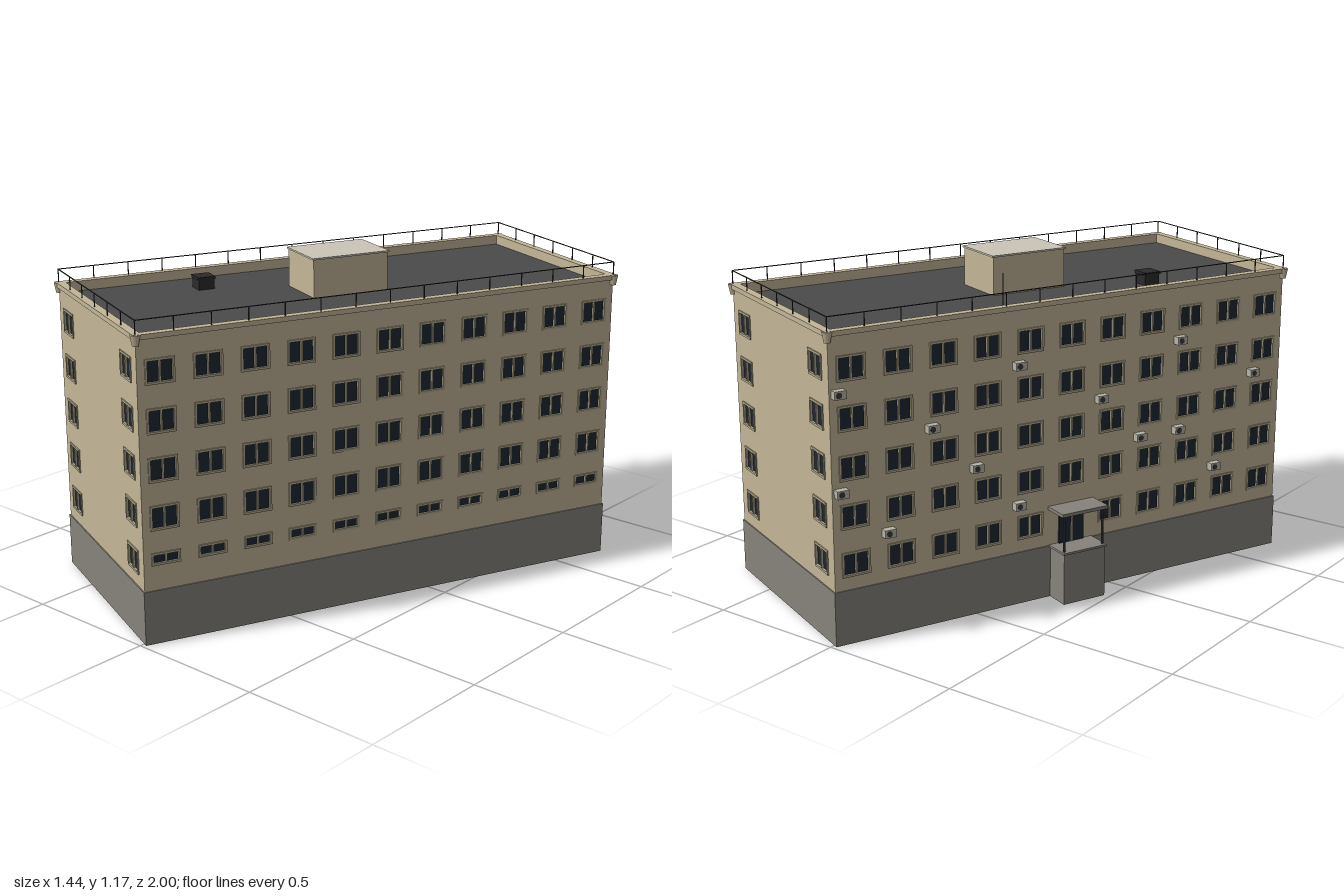
import * as THREE from 'three';
import { mergeGeometries } from 'three/addons/utils/BufferGeometryUtils.js';

const W = 0.778, L = 1.806;          // plan size
const BASE = 0.19, ROOF = 1.03, TOP = 1.065, T = 0.02;
const PITCH = 0.165;                 // storey height and window spacing

const mat = (color) => new THREE.MeshStandardMaterial({ color, side: THREE.DoubleSide });
const M = {
  wall: mat(0xc4b798), plinth: mat(0x87827b), frame: mat(0xb0a78c), glass: mat(0x1f2732),
  roof: mat(0x4a4a4c), dark: mat(0x2b2b2d), light: mat(0xcbc6b8), metal: mat(0x3a3a3c), unit: mat(0xb8b4a8),
};

function add(parent, name, geometry, material, x = 0, y = 0, z = 0) {
  const mesh = new THREE.Mesh(geometry, material);
  mesh.name = name;
  mesh.position.set(x, y, z);
  parent.add(mesh);
  return mesh;
}

const box = (w, h, d, x = 0, y = 0, z = 0) => new THREE.BoxGeometry(w, h, d).translate(x, y, z);

// Rectangle outline centred on (x, y)
function rect(w, h, x = 0, y = 0, Type = THREE.Path) {
  const p = new Type();
  p.moveTo(x - w / 2, y - h / 2);
  p.lineTo(x + w / 2, y - h / 2);
  p.lineTo(x + w / 2, y + h / 2);
  p.lineTo(x - w / 2, y + h / 2);
  p.closePath();
  return p;
}

const extrude = (shape, depth) => new THREE.ExtrudeGeometry(shape, { depth, bevelEnabled: false });

// Horizontal rectangular ring around the plan
function ring(outset, inset, y0, y1) {
  const s = rect(W + 2 * outset, L + 2 * outset, 0, 0, THREE.Shape);
  s.holes.push(rect(W - 2 * inset, L - 2 * inset));
  return extrude(s, y1 - y0).rotateX(-Math.PI / 2).translate(0, y0, 0);
}

// Window frame with two lights
function frameGeometry({ x, y, w, h }) {
  const s = rect(w + 0.008, h + 0.008, x, y, THREE.Shape);
  const light = w / 2 - 0.007;
  for (const side of [-1, 1]) s.holes.push(rect(light, h - 0.008, x + side * (light / 2 + 0.003), y));
  return extrude(s, 0.013).translate(0, 0, -0.009);
}

// One facade: pierced wall panel, frames and glass; its outer face is z = 0
function facade(name, length, windows) {
  const g = new THREE.Group();
  g.name = name;
  const h = 1.05 - BASE;
  const s = rect(length, h, 0, BASE + h / 2, THREE.Shape);
  for (const o of windows) s.holes.push(rect(o.w, o.h, o.x, o.y));
  add(g, 'wall', extrude(s, T).translate(0, 0, -T), M.wall);
  add(g, 'windowFrames', mergeGeometries(windows.map(frameGeometry)), M.frame);
  add(g, 'windowGlass', mergeGeometries(windows.map((o) => box(o.w, o.h, 0.008, o.x, o.y, -0.008))), M.glass);
  return g;
}

// Windows for the given columns on five storeys
function windowGrid(columns, w, lowRow = false) {
  const list = [];
  for (const x of columns) {
    for (let r = 0; r < 5; r++) {
      const small = lowRow && r === 0;
      list.push({ x, y: small ? 0.3 : 0.278 + r * PITCH, w, h: small ? 0.036 : 0.078 });
    }
  }
  return list;
}

export function createModel() {
  const model = new THREE.Group();
  model.name = 'apartmentBlock';
  const b = new THREE.Group();
  b.name = 'building';
  b.rotation.y = -Math.PI / 8;
  model.add(b);

  // Facades
  const longCols = Array.from({ length: 11 }, (_, i) => (i - 5) * PITCH);
  const endCols = [-0.292, 0.292];
  const backWindows = windowGrid(longCols, 0.094).filter((o) => !(Math.abs(o.x) < 0.01 && o.y < 0.3));
  const sides = [
    ['frontEnd', W - 2 * T, windowGrid(endCols, 0.092), 0, L / 2],
    ['rearEnd', W - 2 * T, windowGrid(endCols, 0.092), Math.PI, L / 2],
    ['leftLongSide', L, windowGrid(longCols, 0.094, true), Math.PI / 2, W / 2],
    ['rightLongSide', L, backWindows, -Math.PI / 2, W / 2],
  ];
  const groups = {};
  for (const [name, length, windows, angle, dist] of sides) {
    const g = facade(name, length, windows);
    g.rotation.y = angle;
    g.position.set(Math.sin(angle) * dist, 0, Math.cos(angle) * dist);
    b.add(g);
    groups[name] = g;
  }

  // Plinth, roof deck and cornice
  add(b, 'plinth', ring(0.004, T, 0, BASE), M.plinth);
  add(b, 'roofDeck', box(W - 2 * T, 0.012, L - 2 * T), M.roof, 0, ROOF - 0.006, 0);
  add(b, 'cornice', ring(0.01, T, 1.048, TOP), M.wall);

  // Rainwater heads at the corners
  for (const sx of [-1, 1]) {
    for (const sz of [-1, 1]) {
      add(b, 'cornerHead', new THREE.CylinderGeometry(0.018, 0.011, 0.036, 8), M.wall, sx * W / 2, 1.046, sz * L / 2);
    }
  }

  // Roof railing
  const bars = [];
  const postH = 0.046, t = 0.003, railY = TOP + postH;
  for (const s of [-1, 1]) {
    bars.push(box(t, t, L, s * W / 2, railY, 0), box(W, t, t, 0, railY, s * L / 2));
    for (let i = 0; i <= 14; i++) bars.push(box(t, postH, t, s * W / 2, TOP + postH / 2, (i / 14 - 0.5) * L));
    for (let i = 1; i < 6; i++) bars.push(box(t, postH, t, (i / 6 - 0.5) * W, TOP + postH / 2, s * L / 2));
  }
  add(b, 'roofRailing', mergeGeometries(bars), M.metal);

  // Rooftop stair house, hatch and mast
  add(b, 'stairHouse', box(0.204, 0.135, 0.288), M.wall, -0.004, ROOF + 0.0675, 0);
  add(b, 'stairHouseRoof', box(0.214, 0.006, 0.298), M.light, -0.004, 1.168, 0);
  add(b, 'roofHatch', box(0.06, 0.036, 0.06), M.dark, -0.215, ROOF + 0.018, 0.427);
  add(b, 'roofHatchLid', box(0.066, 0.01, 0.066), M.dark, -0.215, ROOF + 0.041, 0.427);
  add(b, 'mast', new THREE.CylinderGeometry(0.002, 0.002, 0.11, 6), M.metal, -0.238, ROOF + 0.055, -0.183);

  // Entrance porch on the right long side
  const porch = new THREE.Group();
  porch.name = 'entrancePorch';
  groups.rightLongSide.add(porch);
  add(porch, 'landing', box(0.168, 0.185, 0.094), M.plinth, 0, 0.0925, 0.047);
  add(porch, 'landingEdge', box(0.176, 0.008, 0.098), M.plinth, 0, 0.188, 0.049);
  add(porch, 'door', box(0.1, 0.13, 0.008), M.glass, 0, 0.256, 0.003);
  add(porch, 'doorPost', box(0.006, 0.13, 0.012), M.frame, 0, 0.256, 0.004);
  add(porch, 'canopy', box(0.186, 0.012, 0.096), M.plinth, 0, 0.329, 0.048);
  for (const s of [-1, 1]) add(porch, 'canopyPost', box(0.006, 0.135, 0.006), M.metal, s * 0.078, 0.258, 0.084);

  // Air conditioners below the windows: [column, storey gap]
  const units = [[-5, 3], [-5, 1], [-4, 0], [-3, 2], [-2, 1], [-1, 3], [-1, 0],
    [1, 2], [2, 1], [3, 3], [3, 1], [4, 0], [5, 2]];
  for (const [c, r] of units) {
    const u = new THREE.Group();
    u.name = 'airConditioner';
    u.position.set(c * PITCH - 0.05, 0.365 + r * PITCH, 0);
    add(u, 'casing', box(0.042, 0.028, 0.026), M.unit, 0, 0, 0.014);
    add(u, 'fan', new THREE.CylinderGeometry(0.01, 0.01, 0.002, 12).rotateX(Math.PI / 2), M.metal, -0.005, 0, 0.0275);
    groups.rightLongSide.add(u);
  }
  return model;
}
